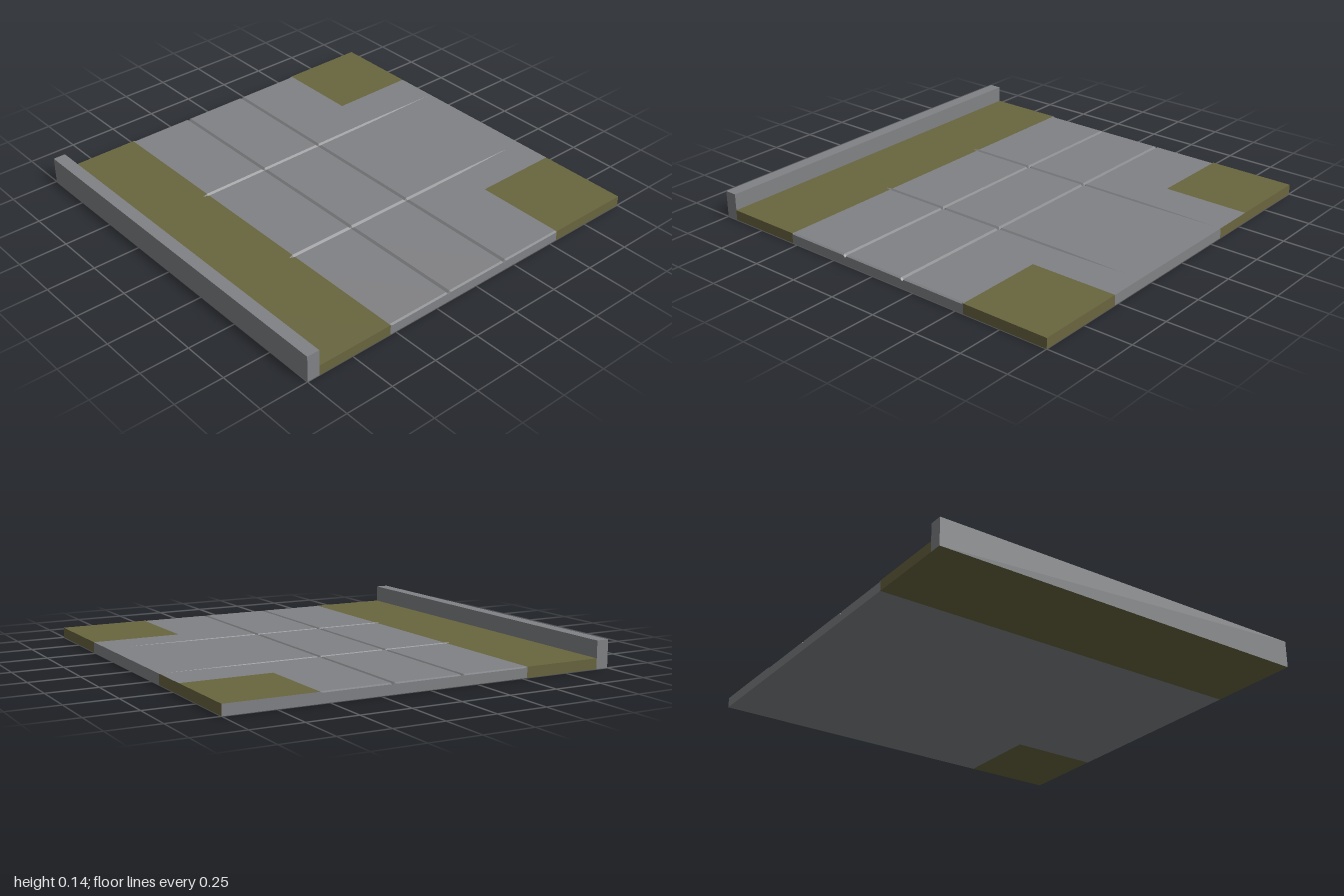
import * as THREE from 'three';

const TOP = 0.052, DEPTH = 0.01, HALF = 0.01;
const LEFT = -0.935, STRIP = -0.53, LAWN = 0.545;
const LAWN_BACK = -0.56, LAWN_FRONT = 0.525;

// Long joints run front to back; cross joints taper to a point at both ends
const longJoints = [-0.175, 0.185];
const crossJoints = [{ z: -0.335, tip: 0.98 }, { z: 0.335, tip: 0.92 }];

const clamp01 = v => Math.max(0, Math.min(1, v));
const taper = (joint, x) => clamp01(Math.min((x + 0.56) / 0.03, (joint.tip - x) / (joint.tip - 0.5)));

// Grid lines: each joint adds two rims and a valley
const xs = [LEFT, -0.56, STRIP, -0.52, 0.535, LAWN, 0.92, 0.98, 1]
  .concat(...longJoints.map(x => [x - HALF, x, x + HALF])).sort((a, b) => a - b);
const rows = [-1, -0.99, LAWN_BACK, LAWN_FRONT, 0.99, 1].map(z => ({ z, off: 0 }));
for (const joint of crossJoints) {
  for (const off of [-HALF, 0, HALF]) rows.push({ z: joint.z, off, joint });
}
rows.sort((a, b) => a.z + a.off - b.z - b.off);

// Surface point for a column and row of the grid
function surfacePoint(x, row) {
  const t = row.joint ? taper(row.joint, x) : 0;
  let y = TOP;
  if (longJoints.includes(x)) y = TOP - DEPTH;
  if (row.joint && row.off === 0) y = Math.min(y, TOP - DEPTH * t);
  if (Math.abs(row.z) === 1 && x >= -0.52 && x <= 0.535) y -= 0.005; // worn ends
  return [x, y, row.z + row.off * t];
}

function buildMesh(name, quads, material) {
  const positions = [];
  for (const [a, b, c, d] of quads) positions.push(...a, ...b, ...c, ...a, ...c, ...d);
  const geometry = new THREE.BufferGeometry();
  geometry.setAttribute('position', new THREE.Float32BufferAttribute(positions, 3));
  geometry.computeVertexNormals();
  const mesh = new THREE.Mesh(geometry, material);
  mesh.name = name;
  return mesh;
}

export function createModel() {
  const group = new THREE.Group();
  group.name = 'pavedGround';
  const concrete = new THREE.MeshStandardMaterial({ color: 0x818285 });
  concrete.name = 'concrete grey';
  const grass = new THREE.MeshStandardMaterial({ color: 0x69653f });
  grass.name = 'grass olive';

  // Ground slab, split into paving and grass
  const paving = [], lawn = [];
  const add = (green, ...quad) => (green ? lawn : paving).push(quad);
  const down = p => [p[0], 0, p[2]];
  for (let i = 0; i < xs.length - 1; i++) {
    for (let j = 0; j < rows.length - 1; j++) {
      const a = surfacePoint(xs[i], rows[j]), b = surfacePoint(xs[i], rows[j + 1]);
      const c = surfacePoint(xs[i + 1], rows[j + 1]), d = surfacePoint(xs[i + 1], rows[j]);
      const x = (xs[i] + xs[i + 1]) / 2;
      const z = (rows[j].z + rows[j].off + rows[j + 1].z + rows[j + 1].off) / 2;
      const strip = x < STRIP, side = x > LAWN;
      const inJoint = x > -0.56 && rows[j].joint && rows[j].joint === rows[j + 1].joint;

      add(!inJoint && (strip || (side && (z < LAWN_BACK || z > LAWN_FRONT))), a, b, c, d);
      add(strip || (side && z > LAWN_FRONT), down(a), down(d), down(c), down(b));
      if (j === rows.length - 2) add(strip || side, down(b), down(c), c, b);
      if (j === 0) add(strip, down(d), down(a), a, d);
      if (i === xs.length - 2) add(z < -0.335 || z > LAWN_FRONT, down(c), down(d), d, c);
    }
  }
  group.add(buildMesh('paving', paving, concrete), buildMesh('grass', lawn, grass));

  // Low wall along one edge, with its underside matching the grass strip
  const width = LEFT + 1, height = 0.137;
  const wall = new THREE.Mesh(new THREE.BoxGeometry(width, height, 2),
    [concrete, concrete, concrete, grass, concrete, concrete]);
  wall.name = 'lowWall';
  wall.position.set(-1 + width / 2, height / 2, 0);
  group.add(wall);

  return group;
}
